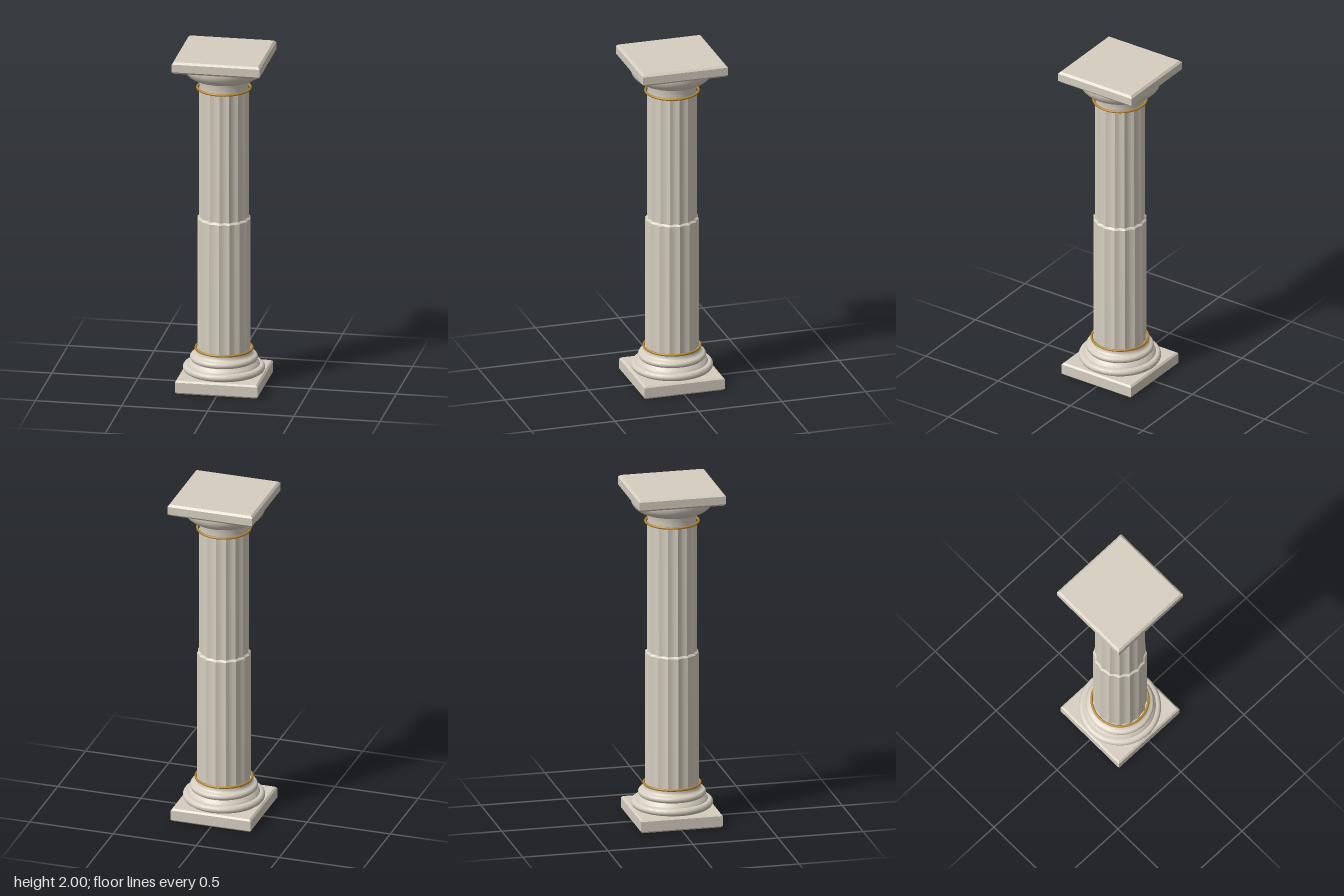
import * as THREE from 'three';
import { toCreasedNormals } from 'three/addons/utils/BufferGeometryUtils.js';

const stone = new THREE.MeshStandardMaterial({ color: 0xd6cec0 });
stone.name = 'stone';
const gold = new THREE.MeshStandardMaterial({ color: 0xb8862f });
gold.name = 'gold';

const FLUTES = 16;

function add(parent, name, geometry, material, y = 0) {
  const mesh = new THREE.Mesh(geometry, material);
  mesh.name = name;
  mesh.position.y = y;
  parent.add(mesh);
  return mesh;
}

// Square slab with every edge chamfered
function slab(width, height, bevel) {
  const h = width / 2 - bevel;
  const shape = new THREE.Shape([[-h, -h], [h, -h], [h, h], [-h, h]].map(([x, y]) => new THREE.Vector2(x, y)));
  const g = new THREE.ExtrudeGeometry(shape, {
    depth: height - 2 * bevel, bevelEnabled: true, bevelThickness: bevel, bevelSize: bevel, bevelSegments: 1,
  });
  g.translate(0, 0, bevel);
  g.rotateX(-Math.PI / 2);
  return g;
}

// Turned moulding from [radius, height] pairs
function turned(points) {
  const g = new THREE.LatheGeometry(points.map(([r, y]) => new THREE.Vector2(r, y)), 64);
  return toCreasedNormals(g, 0.6);
}

// Points of a quarter or half round profile
function arc(cx, cy, rx, ry, from, to, n = 8) {
  return Array.from({ length: n + 1 }, (_, i) => {
    const a = from + (to - from) * i / n;
    return [cx + rx * Math.cos(a), cy + ry * Math.sin(a)];
  });
}

// Fluted drum: concave scallops between sharp ridges, with an optional sloped lip
function drum(radius, depth, height, lip = 0) {
  const steps = 6;
  const points = [];
  for (let i = 0; i < FLUTES * steps; i++) {
    const a = i / (FLUTES * steps) * Math.PI * 2;
    const r = radius - depth * Math.sin((i % steps) / steps * Math.PI);
    points.push(new THREE.Vector2(Math.sin(a) * r, -Math.cos(a) * r));
  }
  const g = new THREE.ExtrudeGeometry(new THREE.Shape(points), {
    depth: height, bevelEnabled: lip > 0, bevelThickness: lip, bevelSize: lip, bevelOffset: -lip, bevelSegments: 1,
  });
  g.rotateX(-Math.PI / 2);
  return toCreasedNormals(g, 0.35);
}

function ring(radius, tube) {
  const g = new THREE.TorusGeometry(radius, tube, 10, 64);
  g.rotateX(Math.PI / 2);
  return g;
}

export function createModel() {
  const column = new THREE.Group();
  column.name = 'column';
  const q = Math.PI / 2;

  add(column, 'plinth', slab(0.48, 0.08, 0.01), stone);

  // Two rounds separated by a hollow
  add(column, 'base', turned([
    [0, 0.08], [0.215, 0.08],
    ...arc(0.215, 0.103, 0.02, 0.021, -q, q),
    [0.205, 0.124], [0.203, 0.13], [0.193, 0.138], [0.186, 0.147],
    ...arc(0.178, 0.165, 0.016, 0.018, -q, q),
    [0.166, 0.19], [0.161, 0.2], [0.161, 0.215], [0, 0.215],
  ]), stone);

  add(column, 'lowerShaft', drum(0.155, 0.008, 0.79, 0.012), stone, 0.21);
  add(column, 'upperShaft', drum(0.144, 0.008, 0.79), stone, 0.99);

  add(column, 'lowerRing', ring(0.162, 0.007), gold, 0.218);
  add(column, 'upperRing', ring(0.152, 0.007), gold, 1.785);

  // Neck flaring out as a rounded bowl below the top slab
  add(column, 'capital', turned([
    [0, 1.775], [0.141, 1.775], [0.141, 1.81], [0.145, 1.835], [0.147, 1.845],
    ...arc(0.147, 1.925, 0.09, 0.08, -q * 0.9, 0, 10),
    [0.237, 1.935], [0, 1.935],
  ]), stone);

  add(column, 'abacus', slab(0.51, 0.07, 0.012), stone, 1.93);
  return column;
}
